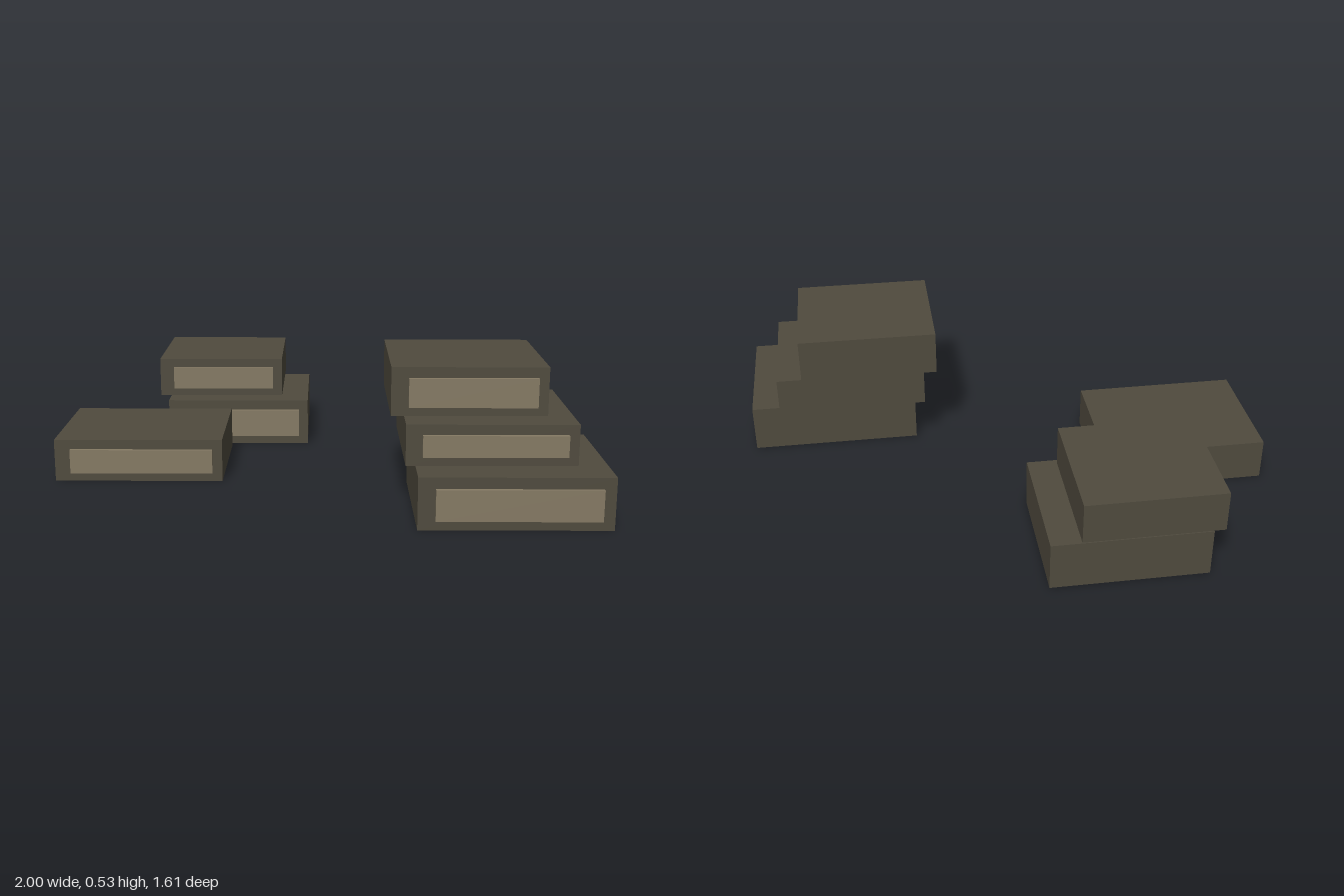
import * as THREE from 'three';

const caseMaterial = new THREE.MeshStandardMaterial({ color: 0x504b3e });
const panelMaterial = new THREE.MeshStandardMaterial({ color: 0x857a64 });
const PANEL_OUT = 0.014; // how far a front panel stands proud

// Box spanning the given x, y and z ranges
function block(name, [x0, x1], [y0, y1], [z0, z1], material) {
  const mesh = new THREE.Mesh(new THREE.BoxGeometry(x1 - x0, y1 - y0, z1 - z0), material);
  mesh.position.set((x0 + x1) / 2, (y0 + y1) / 2, (z0 + z1) / 2);
  mesh.name = name;
  return mesh;
}

// One flat case with a raised panel on its front
function unit({ name, x, y, z, panelX, panelY }) {
  const group = new THREE.Group();
  group.name = name;
  group.add(block('case', x, y, z, caseMaterial));
  group.add(block('frontPanel', panelX, panelY, [z[1] - 0.01, z[1] + PANEL_OUT], panelMaterial));
  return group;
}

const stacks = {
  frontLeftStack: [
    { name: 'bottomBox', x: [0.336, 1], y: [0, 0.186], z: [0.25, 0.79], panelX: [0.396, 0.958], panelY: [0.035, 0.146] },
    { name: 'middleBox', x: [0.299, 0.886], y: [0.2, 0.345], z: [0.19, 0.704], panelX: [0.356, 0.85], panelY: [0.233, 0.309] },
    { name: 'topBox', x: [0.25, 0.786], y: [0.36, 0.53], z: [0.153, 0.645], panelX: [0.31, 0.75], panelY: [0.391, 0.493] },
  ],
  backRightStack: [
    { name: 'bottomBox', x: [-0.631, -0.047], y: [0, 0.186], z: [-0.793, -0.28], panelX: [-0.571, -0.084], panelY: [0.035, 0.146] },
    { name: 'topBox', x: [-0.668, -0.156], y: [0.2, 0.356], z: [-0.806, -0.318], panelX: [-0.61, -0.194], panelY: [0.231, 0.322] },
  ],
  rightSingle: [
    { name: 'singleBox', x: [-1, -0.364], y: [0, 0.161], z: [-0.24, 0.249], panelX: [-0.94, -0.401], panelY: [0.033, 0.125] },
  ],
};

export function createModel() {
  const model = new THREE.Group();
  model.name = 'stackedBoxes';
  for (const [name, units] of Object.entries(stacks)) {
    const stack = new THREE.Group();
    stack.name = name;
    units.forEach((u) => stack.add(unit(u)));
    model.add(stack);
  }
  return model;
}
